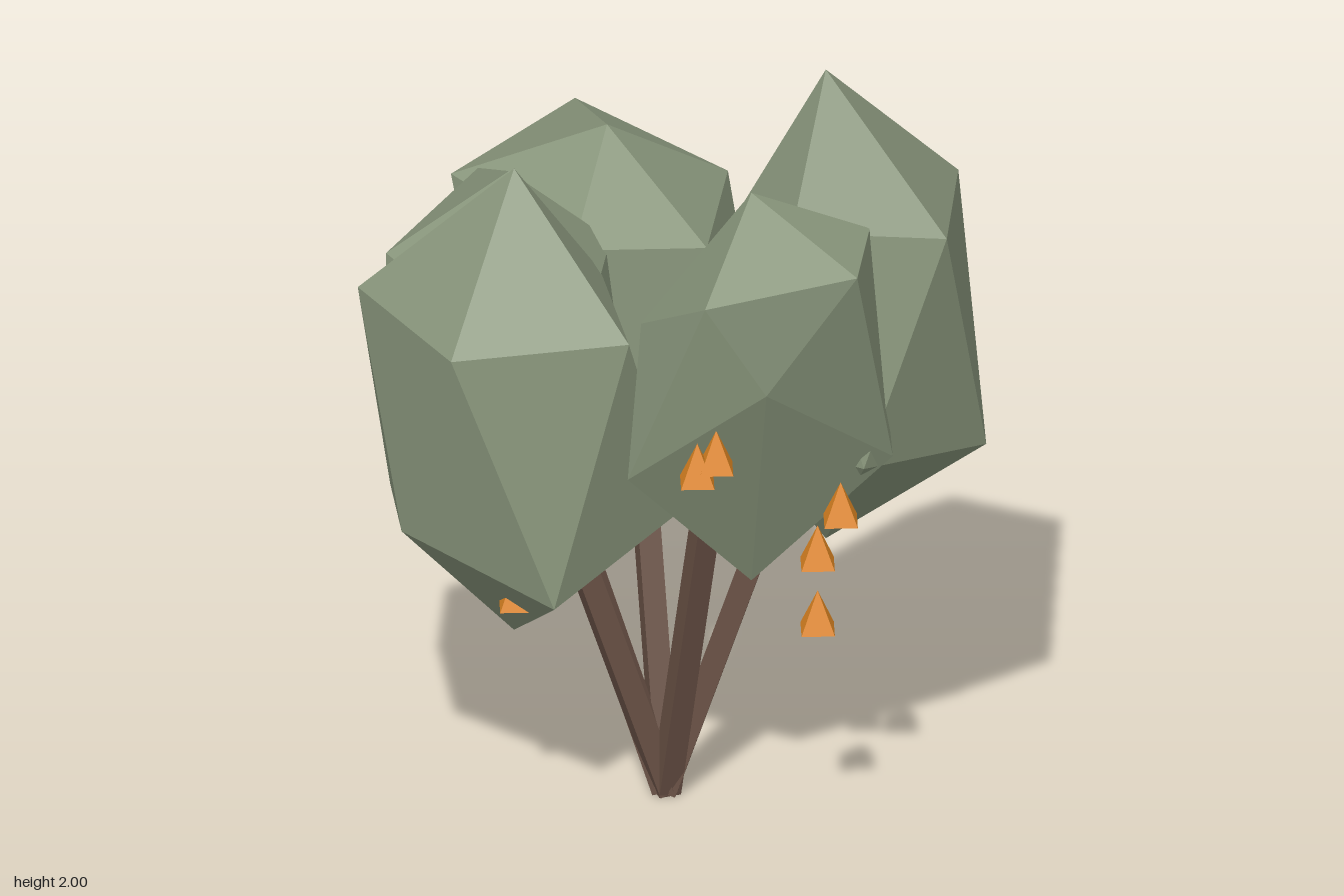
import * as THREE from 'three';

export function createModel() {
  const model = new THREE.Group();
  model.name = 'bush';

  const mat = (name, color) => {
    const m = new THREE.MeshStandardMaterial({ color });
    m.name = name;
    return m;
  };
  const leafGreen = mat('leafGreen', 0x87947a);
  const barkBrown = mat('barkBrown', 0x6a5246);
  const fruitOrange = mat('fruitOrange', 0xde8522);

  const add = (name, geometry, material) => {
    const mesh = new THREE.Mesh(geometry, material);
    mesh.name = name;
    model.add(mesh);
    return mesh;
  };

  // Foliage clump: a stretched icosahedron with a few corners moved.
  // u0..u4 are the upper ring and l0..l4 the lower ring.
  function clump(name, [x, top, z], bottom, r, moved) {
    const mid = (top + bottom) / 2;
    const rise = (top - bottom) / 2 / Math.sqrt(5);
    const ring = (key, start, y) => [0, 1, 2, 3, 4].map((k) => {
      const a = ((start + 72 * k) * Math.PI) / 180;
      return moved[key + k] || [x + r * Math.cos(a), y, z + r * Math.sin(a)];
    });
    const u = ring('u', 0, mid + rise);
    const l = ring('l', 36, mid - rise);
    const apex = [x, top, z];
    const foot = [x, bottom, z];
    const corners = [];
    for (let k = 0; k < 5; k++) {
      const n = (k + 1) % 5;
      corners.push(apex, u[n], u[k]);
      corners.push(u[k], u[n], l[k]);
      corners.push(l[k], u[n], l[n]);
      corners.push(l[k], l[n], foot);
    }
    const g = new THREE.BufferGeometry();
    g.setAttribute('position', new THREE.Float32BufferAttribute(corners.flat(), 3));
    g.computeVertexNormals(); // unshared corners give flat facets
    add(name, g, leafGreen);
  }

  clump('frontFoliage', [-0.21, 1.75, 0.27], 0.5, 0.38, {
    u1: [-0.1, 1.39, 0.61], u3: [-0.4, 1.42, 0.12], u4: [-0.16, 1.4, 0.02],
    l0: [0.11, 0.74, 0.47], l1: [-0.31, 0.84, 0.56], l2: [-0.61, 0.76, 0.28],
    l3: [-0.33, 0.85, 0.02], l4: [0.12, 0.85, 0.03],
  });
  clump('backLeftFoliage', [0.315, 2.0, -0.27], 0.73, 0.39, {
    u0: [0.715, 1.68, -0.27], u1: [0.38, 1.65, -0.08], u2: [0.09, 1.51, -0.14],
    u3: [0.115, 1.61, -0.42], u4: [0.43, 1.64, -0.615],
    l0: [0.6, 1.08, -0.1], l1: [0.25, 1.08, -0.03], l2: [-0.02, 1.08, -0.27],
    l3: [0.2, 1.08, -0.52], l4: [0.63, 1.01, -0.5],
  });
  clump('leftFoliage', [0.35, 1.79, 0.03], 0.74, 0.33, {
    u0: [0.7, 1.68, 0.03], u1: [0.44, 1.6, 0.29], u2: [0.135, 1.42, 0.19],
    u3: [0.18, 1.5, -0.08], u4: [0.54, 1.68, -0.185],
    l0: [0.54, 1.36, 0.18], l1: [0.25, 1.1, 0.36], l2: [0.15, 0.98, 0.02],
    l3: [0.25, 1.0, -0.2], l4: [0.63, 1.1, -0.17],
  });
  clump('backRightFoliage', [-0.38, 1.62, -0.24], 0.67, 0.33, {
    u0: [-0.05, 1.4, -0.24], u1: [-0.25, 1.42, 0.02], u2: [-0.69, 1.46, -0.02],
    u3: [-0.72, 1.48, -0.49], u4: [-0.28, 1.41, -0.56],
    l0: [-0.14, 0.9, -0.05], l1: [-0.46, 0.88, 0.05], l2: [-0.7, 0.86, -0.24],
    l3: [-0.48, 0.85, -0.52], l4: [-0.05, 0.79, -0.48],
  });
  clump('rightFoliage', [-0.33, 1.66, 0.16], 0.74, 0.28, {
    u2: [-0.53, 1.45, 0.38], u3: [-0.61, 1.5, -0.03],
    l1: [-0.44, 0.97, 0.47], l2: [-0.62, 1.0, 0.27], l3: [-0.5, 0.95, 0],
  });

  // Square stems fanning out from one root point, each turned to its lean
  const root = new THREE.Vector3(-0.025, 0.008, -0.07);
  const stemEnds = [
    [0.24, 0.96, -0.24], [0.24, 0.95, 0.06], [-0.25, 0.82, -0.22],
    [-0.14, 0.85, 0.19], [-0.3, 0.88, 0.06],
  ];
  stemEnds.forEach((end) => {
    const d = new THREE.Vector3(...end).sub(root);
    const length = d.length();
    const g = new THREE.BoxGeometry(0.056, length, 0.056).translate(0, length / 2, 0);
    const stem = add('stem', g, barkBrown);
    stem.position.copy(root);
    stem.rotation.set(Math.acos(d.y / length), Math.atan2(d.x, d.z), 0, 'YXZ');
  });

  // Small four-sided fruits scattered around the clumps
  const fruit = new THREE.ConeGeometry(0.057, 0.105, 4).toNonIndexed();
  fruit.computeVertexNormals();
  const fruitSpots = [
    [0.43, 1.2, 0.24], [0.405, 1.17, 0.28], [0.57, 1.0, -0.05],
    [0.405, 0.79, -0.145], [0.48, 0.67, -0.065], [-0.38, 0.53, -0.205],
    [-0.36, 0.535, 0.05], [-0.26, 0.66, -0.53], [-0.09, 0.705, 0.39],
    [-0.395, 1.36, -0.56], [-0.39, 1.31, -0.54], [0.255, 1.15, -0.54],
    [-0.43, 0.94, -0.475],
  ];
  fruitSpots.forEach((p) => add('fruit', fruit, fruitOrange).position.set(...p));

  return model;
}
